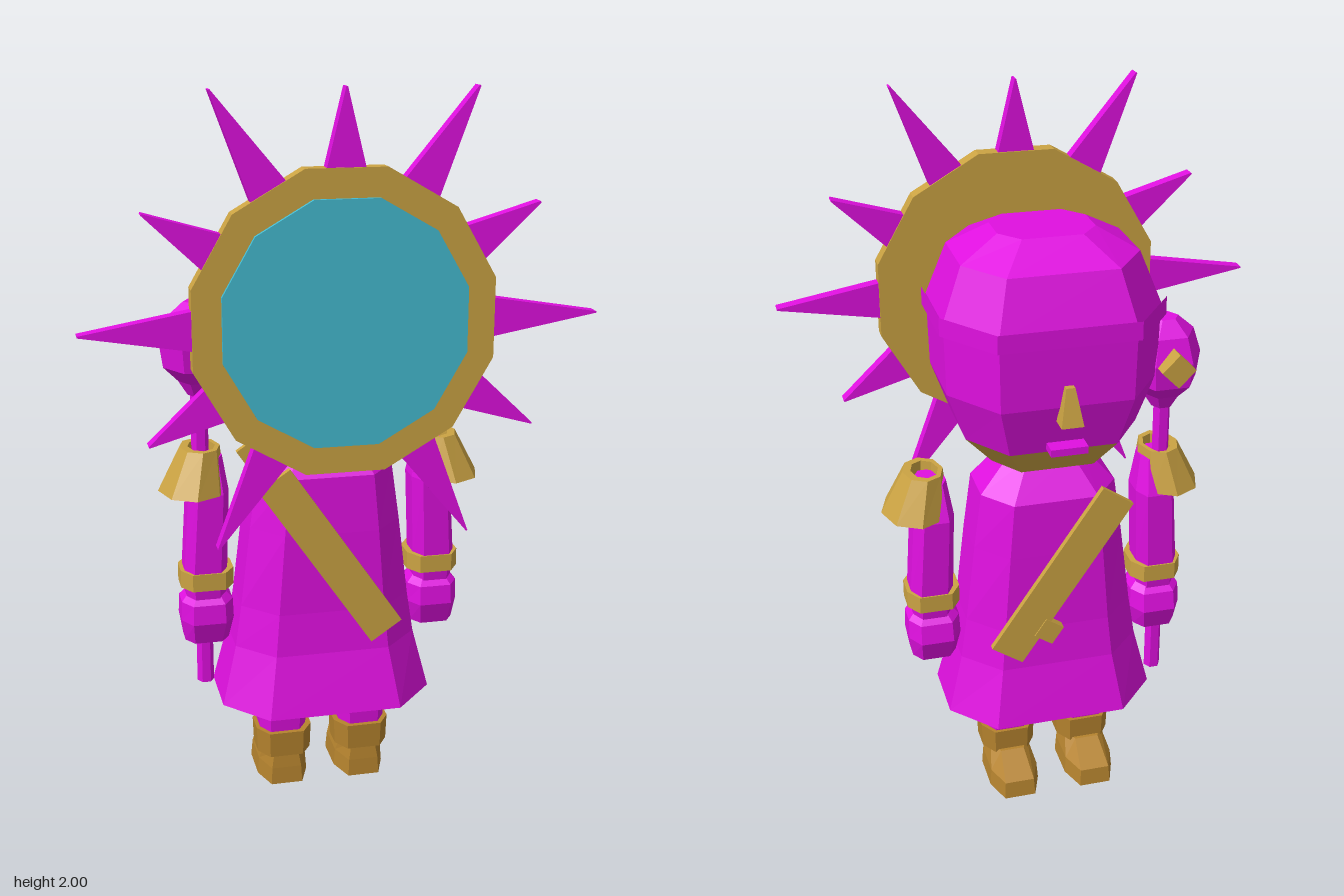
import * as THREE from 'three';

const mat = (name, color) => {
  const m = new THREE.MeshStandardMaterial({ color });
  m.name = name;
  return m;
};

// Unit cross-sections [x, z], anticlockwise seen from above
const OCT = [[1, -0.43], [0.62, -1], [-0.62, -1], [-1, -0.43], [-1, 0.43], [-0.62, 1], [0.62, 1], [1, 0.43]];
const SQUARE = [[1, -1], [-1, -1], [-1, 1], [1, 1]];
const round = (n) => Array.from({ length: n }, (_, k) => {
  const a = (k / n) * Math.PI * 2;
  return [Math.cos(a), -Math.sin(a)];
});

// Faceted skin over rings [y, halfX, halfZ, centreX, centreZ]; keep(ring, side) chooses faces
function loft(rings, shape = OCT, caps = true, keep = () => true) {
  const pos = [], n = shape.length;
  const loops = rings.map(([y, hx, hz, cx = 0, cz = 0]) => shape.map(([x, z]) => [cx + x * hx, y, cz + z * hz]));
  const tri = (a, b, c) => pos.push(...a, ...b, ...c);
  for (let r = 0; r < loops.length - 1; r++) {
    for (let k = 0; k < n; k++) {
      if (!keep(r, k)) continue;
      const a = loops[r], b = loops[r + 1], j = (k + 1) % n;
      tri(a[k], a[j], b[j]);
      tri(a[k], b[j], b[k]);
    }
  }
  if (caps) {
    const lo = loops[0], hi = loops[loops.length - 1];
    for (let k = 1; k < n - 1; k++) {
      tri(hi[0], hi[k], hi[k + 1]);
      tri(lo[0], lo[k + 1], lo[k]);
    }
  }
  const g = new THREE.BufferGeometry();
  g.setAttribute('position', new THREE.Float32BufferAttribute(pos, 3));
  g.computeVertexNormals();
  return g;
}

function flat(geometry) {
  const g = geometry.index ? geometry.toNonIndexed() : geometry;
  g.computeVertexNormals();
  return g;
}

export function createModel() {
  const root = new THREE.Group();
  const magenta = mat('magenta', 0xe010e0);
  const gold = mat('gold', 0xcba343);
  const brown = mat('boot brown', 0xb5832e);
  const cyan = mat('cyan', 0x44bcd2);
  const add = (name, geometry, material, parent = root) => {
    const m = new THREE.Mesh(geometry, material);
    m.name = name;
    parent.add(m);
    return m;
  };

  // Robe and neck
  add('robe', loft([
    [0.28, 0.30, 0.217, 0, -0.008], [0.45, 0.258, 0.175, 0, -0.01], [0.57, 0.24, 0.165, 0, -0.01],
    [0.8, 0.212, 0.162, 0, -0.008], [0.96, 0.19, 0.157, 0, -0.008], [1.06, 0.1, 0.08, 0, -0.01],
  ]), magenta);
  add('neck', loft([[1.03, 0.08, 0.06, 0, -0.02], [1.09, 0.08, 0.06, 0, -0.02]]), magenta);

  // Head with a gold chin and a raised band
  const headRings = [
    [1.065, 0.16, 0.155, 0, -0.015], [1.15, 0.235, 0.22, 0, -0.013], [1.29, 0.285, 0.262, 0, -0.01],
    [1.49, 0.29, 0.265, 0, -0.012], [1.63, 0.236, 0.217, 0, -0.008], [1.69, 0.13, 0.108, 0, -0.008],
  ];
  const isChin = (r, k) => r === 0 && k < 3;
  add('head', loft(headRings, OCT, true, (r, k) => !isChin(r, k)), magenta);
  add('chin', loft(headRings, OCT, false, isChin), gold);
  add('headBand', loft([[1.46, 0.302, 0.273, 0, -0.017], [1.51, 0.302, 0.273, 0, -0.017]], OCT, false), magenta);
  add('nose', loft([[1.25, 0.03, 0.025, 0, -0.29], [1.35, 0.012, 0.014, 0, -0.277]], SQUARE), gold);
  add('mouth', new THREE.BoxGeometry(0.1, 0.02, 0.05).translate(0, 1.17, -0.263), magenta);

  // Arms, legs and boots on both sides
  for (const s of [-1, 1]) {
    const side = s > 0 ? 'left' : 'right';
    const arm = new THREE.Group();
    arm.name = side + 'Arm';
    const leg = new THREE.Group();
    leg.name = side + 'Leg';
    root.add(arm, leg);
    add('sleeve', loft([
      [0.58, 0.055, 0.06, s * 0.33, -0.02], [0.67, 0.06, 0.072, s * 0.33, -0.02],
      [0.9, 0.056, 0.08, s * 0.318, -0.02], [1.0, 0.04, 0.05, s * 0.318, -0.015],
    ]), magenta, arm);
    add('bracelet', loft([[0.62, 0.074, 0.076, s * 0.327, -0.02], [0.67, 0.074, 0.076, s * 0.327, -0.02]]), gold, arm);
    add('hand', loft([
      [0.455, 0.062, 0.06, s * 0.33, -0.023], [0.52, 0.074, 0.083, s * 0.328, -0.023],
      [0.575, 0.072, 0.075, s * 0.328, -0.02], [0.6, 0.05, 0.05, s * 0.328, -0.02],
    ]), magenta, arm);
    add('shoulderPad', loft([
      [0.93, 0.035, 0.05, s * 0.335, -0.01], [0.905, 0.093, 0.12, s * 0.362, -0.005],
      [1.025, 0.056, 0.075, s * 0.337, -0.01], [1.025, 0.038, 0.054, s * 0.332, -0.01],
      [0.93, 0.035, 0.05, s * 0.335, -0.01],
    ], round(8), false), gold, arm);

    add('trouser', loft([[0.15, 0.066, 0.07, s * 0.117, -0.01], [0.36, 0.08, 0.085, s * 0.117, -0.01]]), magenta, leg);
    add('bootCuff', loft([[0.09, 0.077, 0.08, s * 0.115, -0.008], [0.165, 0.08, 0.083, s * 0.115, -0.008]]), brown, leg);
    add('foot', loft([
      [0, 0.073, 0.133, s * 0.115, -0.062], [0.05, 0.069, 0.128, s * 0.115, -0.06],
      [0.1, 0.056, 0.08, s * 0.115, -0.018],
    ]), brown, leg);
  }

  // Diagonal sash plates, with a buckle on the -z plate
  const slope = Math.atan2(-0.465, 0.315);
  for (const [name, z] of [['sash', 0.17], ['sashOpposite', -0.19]]) {
    const sash = add(name, new THREE.BoxGeometry(0.56, 0.104, 0.018), gold);
    sash.position.set(-0.007, 0.74, z);
    sash.rotation.z = slope;
  }
  const buckle = add('buckle', new THREE.BoxGeometry(0.06, 0.06, 0.045), gold);
  buckle.position.set(0.03, 0.57, -0.18);
  buckle.rotation.z = slope;

  // Mace held in the right hand
  const mace = new THREE.Group();
  mace.name = 'mace';
  mace.position.set(-0.33, 0, -0.05);
  root.add(mace);
  add('maceShaft', loft([[0.3, 0.024, 0.024], [1.18, 0.024, 0.024]], round(6)), magenta, mace);
  add('maceHead', loft([
    [1.16, 0.03, 0.03], [1.2, 0.055, 0.055], [1.24, 0.095, 0.095],
    [1.31, 0.105, 0.105], [1.38, 0.082, 0.082], [1.42, 0.036, 0.036],
  ], round(6)), magenta, mace);
  const stud = add('maceStud', new THREE.BoxGeometry(0.067, 0.067, 0.06), gold, mace);
  stud.position.set(0, 1.31, -0.1);
  stud.rotation.z = Math.PI / 4;

  // Sun disc: gold rim, cyan face and eleven rays
  const sun = new THREE.Group();
  sun.name = 'sunDisc';
  sun.position.set(0, 1.417, 0.282);
  root.add(sun);
  const disc = (r, h, z) => flat(new THREE.CylinderGeometry(r, r, h, 12)
    .rotateY(Math.PI / 12).rotateX(Math.PI / 2).translate(0, 0, z));
  add('discRim', disc(0.404, 0.045, 0), gold, sun);
  add('discFace', disc(0.327, 0.02, 0.024), cyan, sun);
  for (let i = 0; i < 12; i++) {
    if (i === 9) continue; // gap at the bottom
    const tip = i % 2 ? 0.583 : 0.67;
    const shape = new THREE.Shape([[0.38, -0.052], [tip, -0.002], [tip, 0.002], [0.38, 0.052]]
      .map(([x, y]) => new THREE.Vector2(x, y)));
    const ray = add('sunRay', new THREE.ExtrudeGeometry(shape, { depth: 0.036, bevelEnabled: false }).translate(0, 0, -0.018), magenta, sun);
    ray.rotation.z = (i * Math.PI) / 6;
  }
  return root;
}
